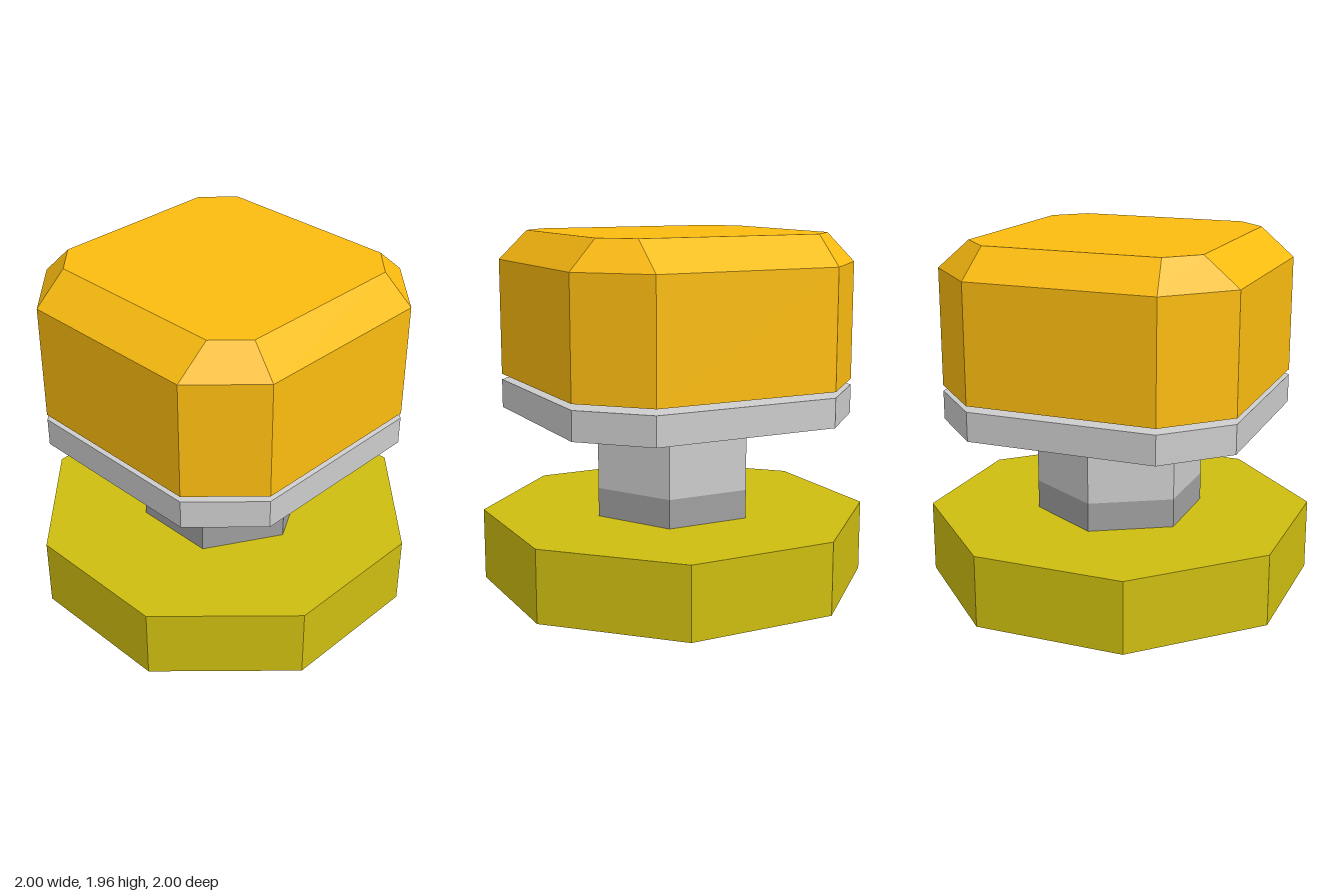
import * as THREE from 'three';

const material = (color) =>
  new THREE.MeshStandardMaterial({ color, flatShading: true, side: THREE.DoubleSide });

// Rectangle with cut corners: half sizes hx, hz; straight edges reach fx, fz.
const ring = (y, hx, hz, fx, fz) =>
  [[hx, fz], [fx, hz], [-fx, hz], [-hx, fz], [-hx, -fz], [-fx, -hz], [fx, -hz], [hx, -fz]]
    .map(([x, z]) => new THREE.Vector3(x, y, z));

// Closed solid through a stack of rings, listed from bottom to top.
function loft(rings) {
  const points = [];
  const n = rings[0].length;
  for (let r = 0; r < rings.length - 1; r++) {
    const a = rings[r], b = rings[r + 1];
    for (let i = 0; i < n; i++) {
      const j = (i + 1) % n;
      points.push(a[i], b[i], a[j], a[j], b[i], b[j]);
    }
  }
  const bottom = rings[0], top = rings[rings.length - 1];
  for (let i = 1; i < n - 1; i++) {
    points.push(bottom[0], bottom[i], bottom[i + 1], top[0], top[i + 1], top[i]);
  }
  const geometry = new THREE.BufferGeometry().setFromPoints(points);
  geometry.computeVertexNormals();
  return geometry;
}

// Open prism wall between two heights.
function tube(radius, sides, y0, y1, turn = 0) {
  return new THREE.CylinderGeometry(radius, radius, y1 - y0, sides, 1, true)
    .rotateY(turn)
    .translate(0, (y0 + y1) / 2, 0);
}

const polygon = (radius, sides, turn) =>
  Array.from({ length: sides }, (_, i) => {
    const a = turn + (i / sides) * Math.PI * 2;
    return new THREE.Vector2(radius * Math.cos(a), radius * Math.sin(a));
  });

export function createModel() {
  const model = new THREE.Group();
  const add = (parent, name, geometry, mat) => {
    const mesh = new THREE.Mesh(geometry, mat);
    mesh.name = name;
    parent.add(mesh);
  };

  const grey = material(0xcccccc);
  const darkGrey = material(0xa0a0a0);
  const olive = material(0xcebd10);
  const amber = material(0xfcbc10);

  const baseRadius = 1 / Math.cos(Math.PI / 8);
  const postRadius = 0.47;

  // Base: hollow octagon, open below, its top pierced by the post
  const base = new THREE.Group();
  base.name = 'base';
  model.add(base);
  add(base, 'baseWall', tube(baseRadius, 8, 0, 0.4, Math.PI / 8), olive);
  const topShape = new THREE.Shape(polygon(baseRadius, 8, Math.PI / 8));
  topShape.holes.push(new THREE.Path(polygon(postRadius, 6, Math.PI / 6)));
  const topFace = new THREE.ShapeGeometry(topShape).rotateX(-Math.PI / 2).translate(0, 0.4, 0);
  add(base, 'baseTop', topFace, olive);

  // Post: open hexagonal tube with a darker foot
  add(model, 'postFoot', tube(postRadius, 6, 0.4, 0.56), darkGrey);
  add(model, 'post', tube(postRadius, 6, 0.56, 0.96), grey);

  // Plate: cut-corner slab, its top rising slightly towards the seam
  const seam = ring(1.137, 0.65, 0.65, 0.4, 0.4);
  const outline = (y) => ring(y, 0.835, 0.835, 0.52, 0.52);
  add(model, 'plate', loft([outline(0.96), outline(1.12), seam]), grey);

  // Cap: cut-corner block with a bevelled top
  const capTop = ring(1.96, 0.645, 0.68, 0.485, 0.522);
  add(model, 'cap', loft([seam, outline(1.152), outline(1.8), capTop]), amber);

  return model;
}
